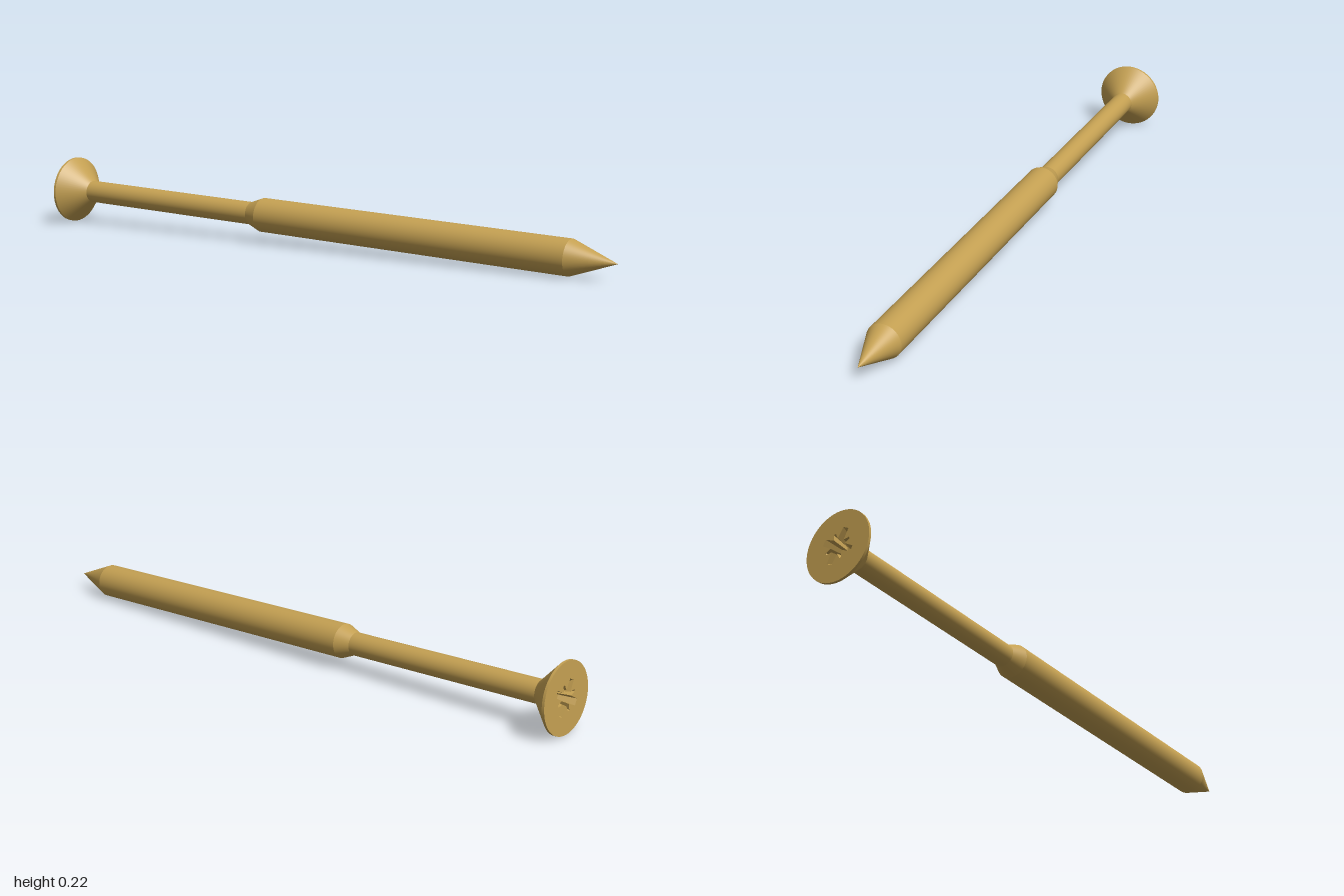
import * as THREE from 'three';

const HEAD_R = 0.109;
const brass = new THREE.MeshStandardMaterial({ color: 0xc4a052 });
brass.name = 'brass';

// Star-shaped cross outline: four wide arms with four narrow ticks between them
function driveOutline(scale) {
  const quarter = [[0.055, -0.010], [0.055, 0.010], [0.021, 0.012], [0.032, 0.027], [0.027, 0.032], [0.012, 0.021]];
  const points = [];
  for (let q = 0; q < 4; q++) {
    for (const [x, y] of quarter) {
      points.push(new THREE.Vector2(x, y).multiplyScalar(scale)
        .rotateAround(new THREE.Vector2(), q * Math.PI / 2 + 1.31));
    }
  }
  return points;
}

// Tapered walls sinking from the upper outline to the lower one
function recessWalls(upper, lower, depth) {
  const pos = [];
  upper.forEach((a, i) => {
    const j = (i + 1) % upper.length;
    const ti = [a.x, a.y, 0], tj = [upper[j].x, upper[j].y, 0];
    const bi = [lower[i].x, lower[i].y, -depth], bj = [lower[j].x, lower[j].y, -depth];
    pos.push(...tj, ...bj, ...bi, ...tj, ...bi, ...ti);
  });
  const geo = new THREE.BufferGeometry();
  geo.setAttribute('position', new THREE.Float32BufferAttribute(pos, 3));
  geo.computeVertexNormals();
  return geo;
}

export function createModel() {
  const model = new THREE.Group();
  model.name = 'screw';
  const body = new THREE.Group();
  body.name = 'screwBody';
  model.add(body);

  const add = (name, geo) => {
    const mesh = new THREE.Mesh(geo, brass);
    mesh.name = name;
    body.add(mesh);
  };

  // Turned sections along the axis: name, start radius, start, end radius, end
  const sections = [
    ['headRim', HEAD_R, 0, HEAD_R, 0.008],
    ['headCone', HEAD_R, 0.008, 0.036, 0.082],
    ['shank', 0.036, 0.082, 0.036, 0.757],
    ['shoulder', 0.036, 0.757, 0.054, 0.803],
    ['threadBody', 0.054, 0.803, 0.054, 1.876],
    ['tip', 0.054, 1.876, 0, 2.02],
  ];
  for (const [name, r0, y0, r1, y1] of sections) {
    add(name, new THREE.LatheGeometry([new THREE.Vector2(r0, y0), new THREE.Vector2(r1, y1)], 64));
  }

  // Flat head face with the drive recess cut into it
  const depth = 0.05;
  const upper = driveOutline(1), lower = driveOutline(0.65);
  const face = new THREE.Shape().absarc(0, 0, HEAD_R, 0, Math.PI * 2);
  face.holes.push(new THREE.Path(upper));
  add('headFace', new THREE.ShapeGeometry(face, 32).rotateX(Math.PI / 2));
  add('driveWalls', recessWalls(upper, lower, depth).rotateX(Math.PI / 2));
  add('driveFloor', new THREE.ShapeGeometry(new THREE.Shape(lower)).translate(0, 0, -depth).rotateX(Math.PI / 2));

  // Lay the screw down, resting on its rim and the end of its body
  const axis = new THREE.Vector3(1.975, -0.058, 0.42).normalize();
  body.quaternion.setFromUnitVectors(new THREE.Vector3(0, 1, 0), axis);
  body.position.set(-0.977, 0.112, -0.169);
  return model;
}
